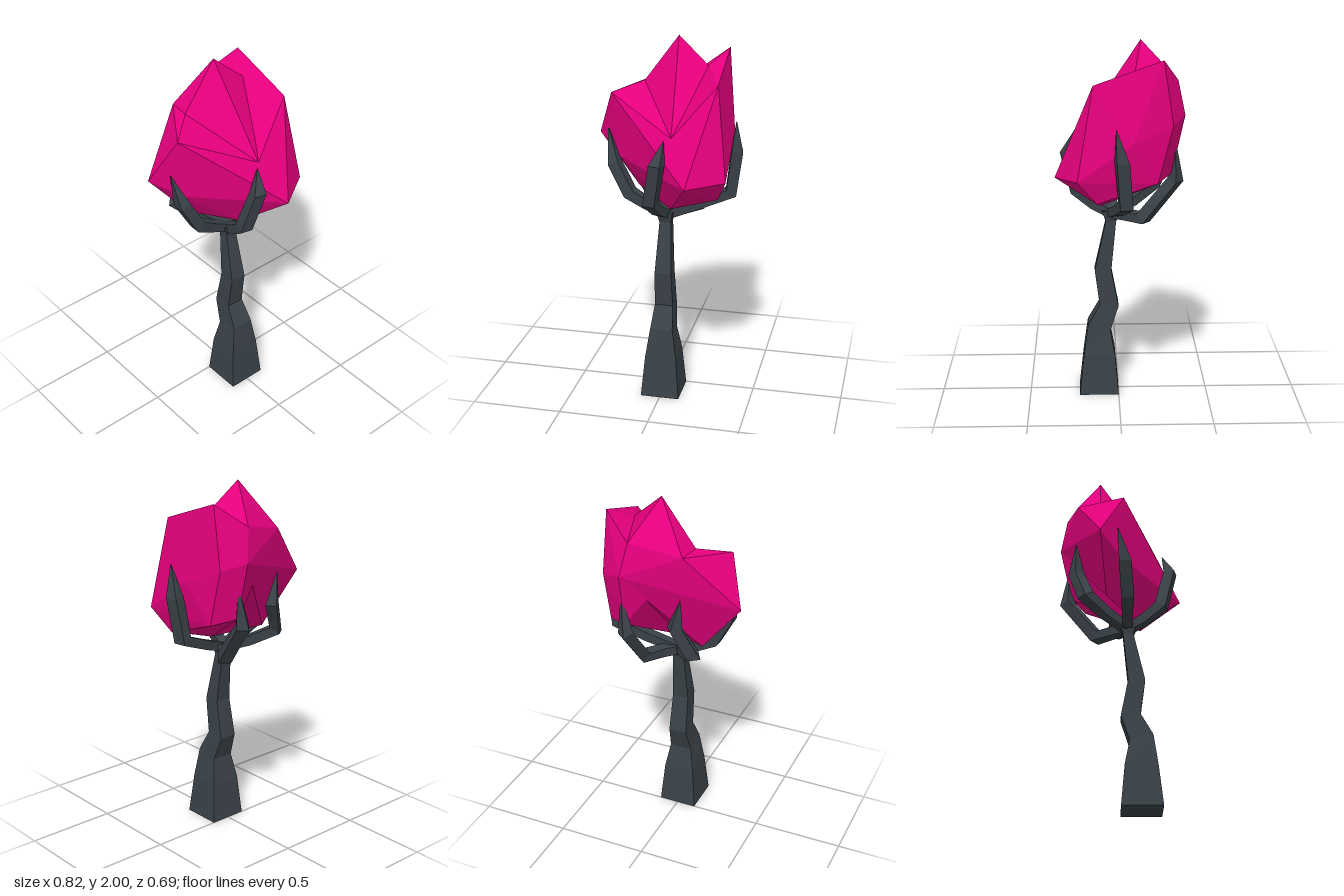
import * as THREE from 'three';
import { ConvexGeometry } from 'three/addons/geometries/ConvexGeometry.js';

const V = (x, y, z) => new THREE.Vector3(x, y, z);
const stone = new THREE.MeshStandardMaterial({ color: 0x3a4248, flatShading: true });
const crystalPink = new THREE.MeshStandardMaterial({ color: 0xe6007e, flatShading: true });

// Flat-shaded geometry from a list of corner points, three per face
function fromCorners(corners) {
  const geo = new THREE.BufferGeometry().setFromPoints(corners);
  geo.computeVertexNormals();
  return geo;
}

// Skin four-cornered rings (counter-clockwise around the path) and cap both ends
function loft(rings) {
  const corners = [];
  const quad = (a, b, c, d) => corners.push(a, b, c, a, c, d);
  for (let i = 0; i < rings.length - 1; i++) {
    for (let j = 0; j < 4; j++) {
      const k = (j + 1) % 4;
      quad(rings[i][j], rings[i][k], rings[i + 1][k], rings[i + 1][j]);
    }
  }
  const first = rings[0], last = rings[rings.length - 1];
  quad(first[3], first[2], first[1], first[0]);
  quad(last[0], last[1], last[2], last[3]);
  return fromCorners(corners);
}

function part(name, geo, material) {
  const mesh = new THREE.Mesh(geo, material);
  mesh.name = name;
  return mesh;
}

// Crooked square trunk: [half width, front y, front z, back y, back z]
function trunkGeometry() {
  const sections = [
    [0.108, 0, 0.22, 0, 0],
    [0.088, 0.23, 0.195, 0.23, 0.02],
    [0.063, 0.4, 0.172, 0.37, 0.047],
    [0.051, 0.52, 0.106, 0.51, 0],
    [0.046, 0.72, 0.132, 0.72, 0.04],
    [0.032, 1.0, 0.07, 1.0, 0.013],
    [0.045, 1.06, 0.09, 1.06, -0.01],
  ];
  return loft(sections.map(([w, fy, fz, by, bz]) =>
    [V(w, fy, fz), V(w, by, bz), V(-w, by, bz), V(-w, fy, fz)]));
}

// Bent claw: square bar that runs out from the hub, turns up and ends in a point
function clawGeometry(points) {
  const path = [V(0, 1.04, 0.04), ...points.map(p => V(...p))];
  const bend = path[2];
  const side = V(0, 1, 0).cross(V(bend.x, 0, bend.z - 0.04)).normalize();
  const half = [0.026, 0.029, 0.035, 0.034, 0.002];
  return loft(path.map((p, i) => {
    const t = path[Math.min(i + 1, path.length - 1)].clone()
      .sub(path[Math.max(i - 1, 0)]).normalize();
    const n = t.cross(side).normalize();
    const h = half[i];
    return [[1, 1], [-1, 1], [-1, -1], [1, -1]].map(([a, b]) =>
      p.clone().addScaledVector(side, a * h).addScaledVector(n, b * h * 0.9));
  }));
}

// Faceted crystal: three convex shards sharing corners, with notches between their peaks
function crystalGeometry() {
  const c = {
    peak: V(0.035, 2, -0.117), leftNotch: V(-0.155, 1.745, -0.117), rightNotch: V(0.204, 1.85, -0.081),
    sideTip: V(-0.31, 1.7, 0.012), sideEdge: V(-0.41, 1.44, -0.117),
    backTip: V(0.295, 1.925, -0.226), frontShoulder: V(0.297, 1.797, 0.139),
    front: V(0.063, 1.52, 0.21), frontLow: V(0.16, 1.284, 0.344), cornerLow: V(0.357, 1.3, 0.223),
    flank: V(0.355, 1.5, -0.066), backFlank: V(0.299, 1.586, -0.278),
    backHigh: V(0.138, 1.8, -0.311), backMid: V(0.173, 1.62, -0.348), backLeft: V(-0.136, 1.74, -0.243),
    backLow: V(0.18, 1.31, -0.28), base: V(0.035, 1.09, 0.1), baseLeft: V(-0.18, 1.155, -0.08),
    baseRight: V(0.3, 1.17, 0.12), baseBack: V(0.3, 1.28, -0.2), sideLow: V(-0.27, 1.34, 0.0),
  };
  const shared = 'front frontLow backMid base ';
  const shards = [
    'sideTip sideEdge leftNotch backLeft sideLow baseLeft',
    'peak leftNotch rightNotch backLeft backHigh backLow baseRight baseBack',
    'rightNotch backTip frontShoulder cornerLow flank backFlank backHigh backLow baseRight baseBack',
  ].map(names => {
    const pos = new ConvexGeometry((shared + names).split(' ').map(k => c[k])).attributes.position;
    return Array.from({ length: pos.count / 3 }, (_, i) =>
      new THREE.Triangle().setFromAttributeAndIndices(pos, 3 * i, 3 * i + 1, 3 * i + 2));
  });
  // Leave out walls that lie wholly inside a neighbouring shard
  const planes = shards.map(tris => tris.map(t => t.getPlane(new THREE.Plane())));
  const within = (hull, point, limit) => hull.every(p => p.distanceToPoint(point) < limit);
  const buried = (t, own) => planes.some((hull, i) => i !== own
    && [t.a, t.b, t.c].every(p => within(hull, p, 1e-4))
    && within(hull, t.getMidpoint(V(0, 0, 0)), -1e-4));
  return fromCorners(shards.flatMap((tris, i) =>
    tris.filter(t => !buried(t, i)).flatMap(t => [t.a, t.b, t.c])));
}

export function createModel() {
  const model = new THREE.Group();
  model.name = 'crystalTree';
  model.add(part('trunk', trunkGeometry(), stone));
  model.add(part('crystal', crystalGeometry(), crystalPink));

  // Each claw: outer elbow, lower bend, upper bend, tip
  const claws = {
    leftClaw: [[0.17, 1.1, 0.0], [0.345, 1.17, -0.03], [0.378, 1.41, -0.01], [0.377, 1.58, 0.02]],
    frontClaw: [[-0.025, 1.085, 0.13], [-0.045, 1.16, 0.225], [0.0, 1.39, 0.28], [0.03, 1.51, 0.238]],
    rightClaw: [[-0.11, 1.09, 0.035], [-0.205, 1.145, 0.035], [-0.295, 1.31, 0.02], [-0.337, 1.49, -0.02]],
    backLeftClaw: [[0.07, 1.05, -0.04], [0.14, 1.05, -0.13], [0.165, 1.27, -0.3], [0.19, 1.49, -0.295]],
    backRightClaw: [[-0.09, 1.09, -0.08], [-0.175, 1.16, -0.195], [-0.095, 1.33, -0.248], [-0.126, 1.5, -0.25]],
  };
  for (const [name, points] of Object.entries(claws)) {
    model.add(part(name, clawGeometry(points), stone));
  }
  return model;
}
